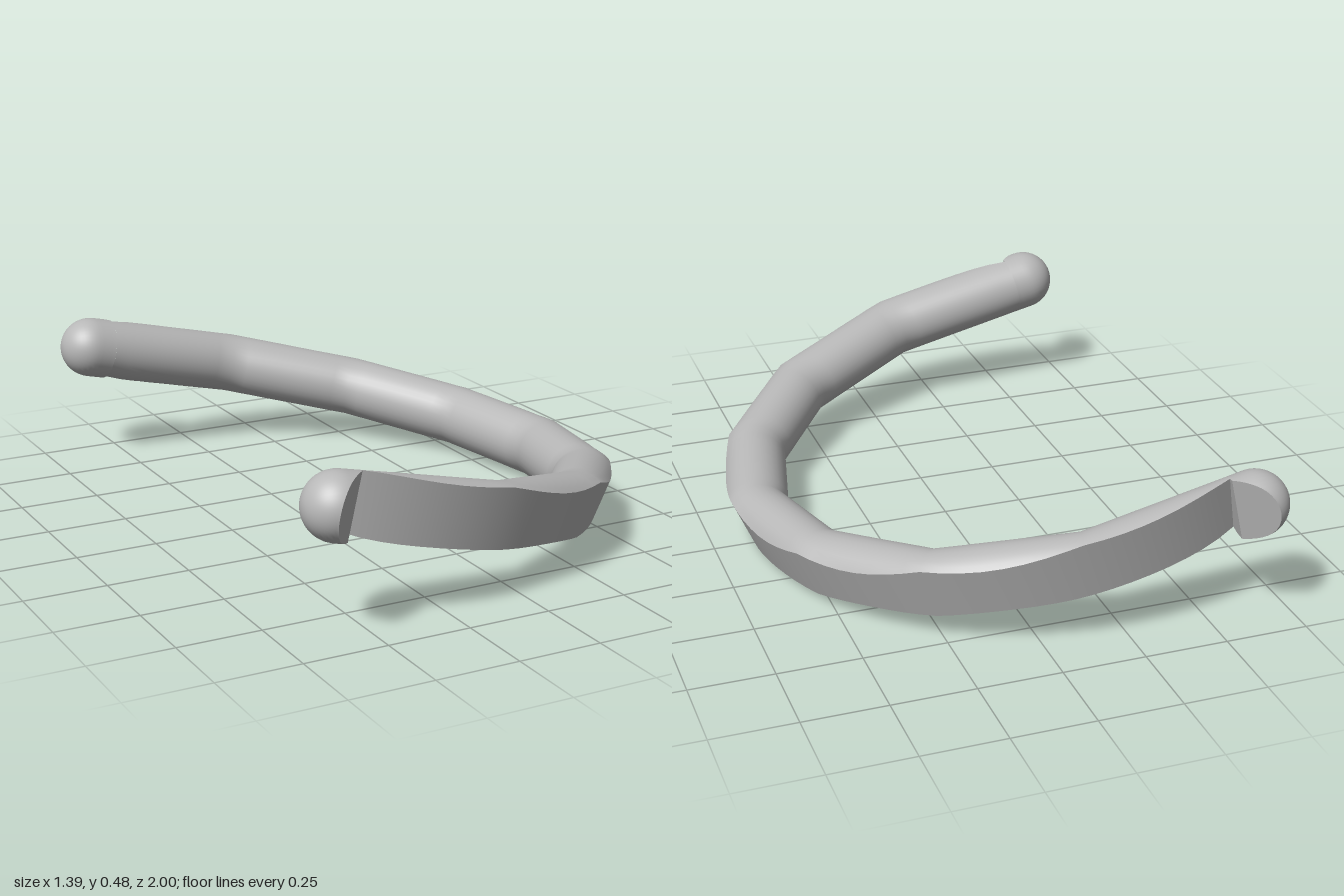
import * as THREE from 'three';
import { mergeVertices } from 'three/addons/utils/BufferGeometryUtils.js';

const RADIUS = 0.098;      // tube radius
const CUT_END = -0.565;    // where the trimmed outer wall stops
const CAP = -0.62;         // centre of the rounded tip
const END_Z = 0.909;

// Surface from a rule at(i, j) -> [x, y, z], facing along di x dj
function grid(ni, nj, at, flat = false) {
  const pos = [], index = [];
  for (let i = 0; i <= ni; i++) for (let j = 0; j <= nj; j++) pos.push(...at(i, j));
  for (let i = 0; i < ni; i++) for (let j = 0; j < nj; j++) {
    const a = i * (nj + 1) + j, b = a + nj + 1;
    index.push(a, b, a + 1, b, b + 1, a + 1);
  }
  let g = new THREE.BufferGeometry();
  g.setAttribute('position', new THREE.Float32BufferAttribute(pos, 3));
  g.setIndex(index);
  g = flat ? g.toNonIndexed() : mergeVertices(g, 1e-5);
  g.computeVertexNormals();
  return g;
}

// Centre line of the hoop in its own plane: [x, z]
const half = [[CUT_END, END_Z], [-0.11, 0.903], [0.288, 0.707], [0.535, 0.387]];
const path = [...half, [0.627, 0], ...half.map(([x, z]) => [x, -z]).reverse()];

// Outward mitre vector at each corner
const segNormal = (i) => {
  const [a, b] = [path[i], path[i + 1]];
  return new THREE.Vector2(a[1] - b[1], b[0] - a[0]).normalize();
};
const mitres = path.map((_, i) => {
  if (i === 0) return new THREE.Vector2(0, 1);
  if (i === path.length - 1) return new THREE.Vector2(0, -1);
  const n = segNormal(i - 1), m = n.clone().add(segNormal(i)).normalize();
  return m.divideScalar(m.dot(n));
});

// Cross-sections: circle trimmed by a slightly tapered wall
const STEPS = 8;
const sections = [];
for (let k = 0; k <= (path.length - 1) * STEPS; k++) {
  const i = Math.min(Math.floor(k / STEPS), path.length - 2), f = k / STEPS - i;
  const c = new THREE.Vector2(...path[i]).lerp(new THREE.Vector2(...path[i + 1]), f);
  const m = mitres[i].clone().lerp(mitres[i + 1], f);
  const point = (t) => [
    c.x + m.x * RADIUS * Math.cos(t), RADIUS * Math.sin(t), c.y + m.y * RADIUS * Math.cos(t)];
  const meet = (sign) => {
    let lo = 0, hi = Math.PI;
    for (let n = 0; n < 30; n++) {
      const mid = (lo + hi) / 2, [x, y, z] = point(sign * mid);
      if (Math.hypot(x + 0.251, z) > 0.93 + 0.19 * y) lo = mid; else hi = mid;
    }
    return sign * hi;
  };
  sections.push({ point, top: meet(1), bottom: meet(-1) });
}

export function createModel() {
  const model = new THREE.Group();
  model.name = 'curvedHandle';
  const grey = new THREE.MeshStandardMaterial({ color: 0xb8b8b8 });
  grey.name = 'plain grey';
  const add = (parent, name, geometry) => {
    const mesh = new THREE.Mesh(geometry, grey);
    mesh.name = name;
    parent.add(mesh);
  };

  const hoop = new THREE.Group();
  hoop.name = 'tiltedHoop';
  hoop.rotation.z = -THREE.MathUtils.degToRad(13);
  hoop.position.y = 0.23;
  model.add(hoop);

  // Rounded inner side and flat outer wall
  const last = sections.length - 1, ARC = 24;
  add(hoop, 'roundedBar', grid(last, ARC, (i, j) => {
    const s = sections[i];
    return s.point(s.top + (s.bottom + 2 * Math.PI - s.top) * j / ARC);
  }));
  add(hoop, 'outerWall', grid(last, 1, (i, j) => {
    const s = sections[i];
    return s.point(j ? s.top : s.bottom);
  }));

  // Rounded tips, full round with a slanted step facing the outer wall
  const rho = (x) => x > CAP ? RADIUS : Math.sqrt(Math.max(0, RADIUS ** 2 - (x - CAP) ** 2));
  const SIDES = 40, RINGS = 16;
  const angle = (j) => Math.PI - 2 * Math.PI * j / SIDES;
  const startX = (t) => {
    const c = Math.max(0, Math.cos(t));
    let x = CUT_END;
    for (let n = 0; n < 40; n++) x = (x + CUT_END - rho(x) * c) / 2;
    return x;
  };
  const onTip = (x, t) => [x, rho(x) * Math.sin(t), END_Z + rho(x) * Math.cos(t)];
  const tip = grid(RINGS, SIDES, (i, j) => {
    const t = angle(j), x0 = startX(t);
    return onTip(x0 + (CAP - RADIUS - x0) * Math.sin(i / RINGS * Math.PI / 2), t);
  });
  const step = grid(1, SIDES, (i, j) =>
    i ? onTip(startX(angle(j)), angle(j)) : [CUT_END, 0, END_Z], true);

  for (const side of ['left', 'right']) {
    const end = new THREE.Group();
    end.name = side === 'left' ? 'frontEnd' : 'backEnd';
    if (side === 'right') end.rotation.x = Math.PI;
    add(end, 'roundTip', tip);
    add(end, 'slantedStep', step);
    hoop.add(end);
  }
  return model;
}
